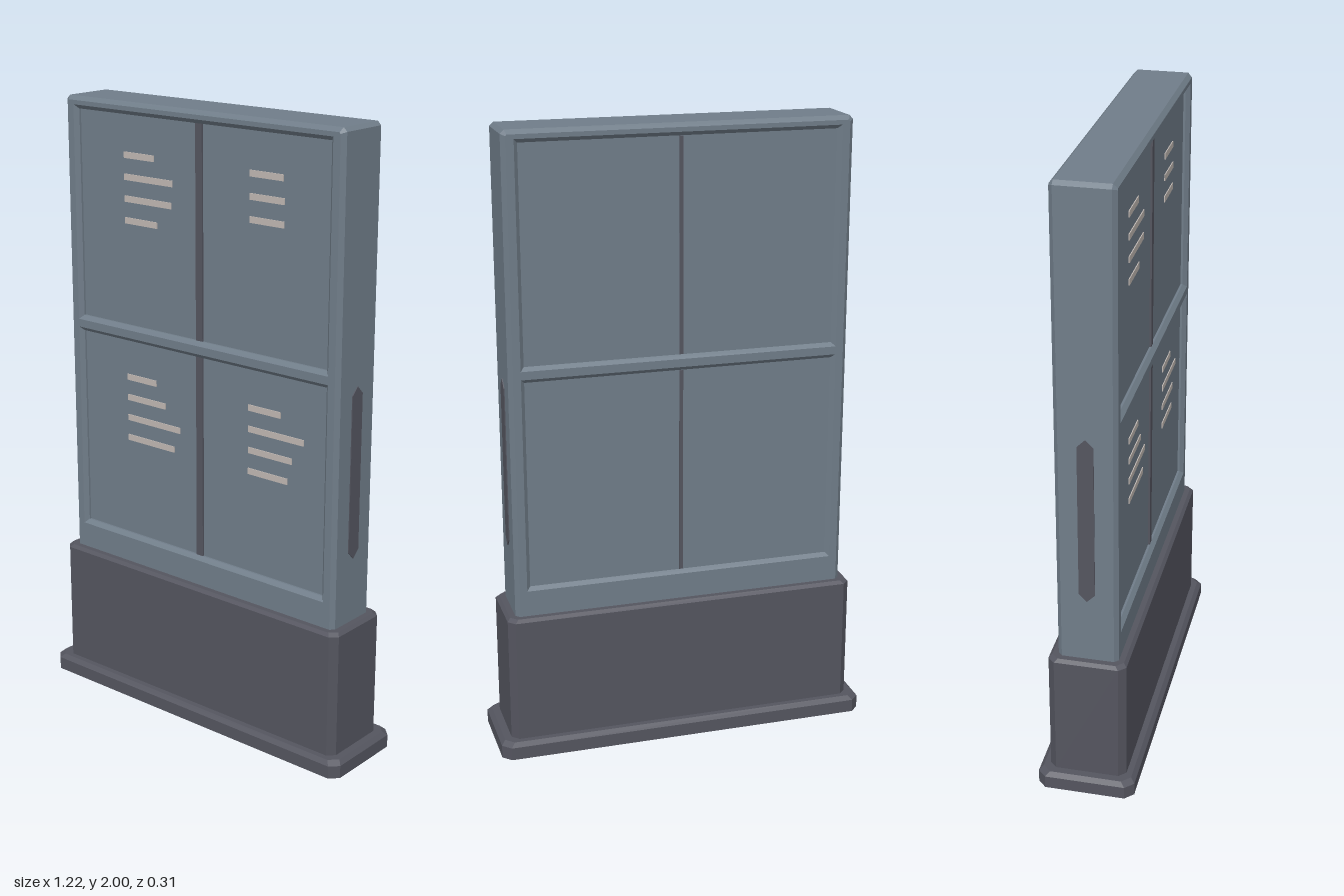
import * as THREE from 'three';

const material = (name, color) => {
  const m = new THREE.MeshStandardMaterial({ color });
  m.name = name;
  return m;
};

// Corner-cut rectangle in plan, as eight points
function octagon(hw, hd, c) {
  return [[hw - c, hd], [hw, hd - c], [hw, c - hd], [hw - c, -hd],
    [c - hw, -hd], [-hw, c - hd], [-hw, hd - c], [c - hw, hd]];
}

// Upright corner-cut block with a chamfered top edge
function chamferedBlock(hw, hd, y0, y1, corner, bevel) {
  const rings = [
    [octagon(hw, hd, corner), y0],
    [octagon(hw, hd, corner), y1 - bevel],
    [octagon(hw - bevel, hd - bevel, corner), y1],
  ].map(([pts, y]) => pts.map(([x, z]) => [x, y, z]));
  const out = [];
  const tri = (a, b, c) => out.push(...a, ...b, ...c);
  for (let r = 0; r < 2; r++) {
    for (let i = 0; i < 8; i++) {
      const j = (i + 1) % 8;
      const [a, b, c, d] = [rings[r][i], rings[r][j], rings[r + 1][j], rings[r + 1][i]];
      tri(a, b, c);
      tri(a, c, d);
    }
  }
  for (let i = 1; i < 7; i++) {
    tri(rings[2][0], rings[2][i], rings[2][i + 1]);
    tri(rings[0][0], rings[0][i + 1], rings[0][i]);
  }
  const g = new THREE.BufferGeometry();
  g.setAttribute('position', new THREE.Float32BufferAttribute(out, 3));
  g.computeVertexNormals();
  return g;
}

export function createModel() {
  const group = new THREE.Group();
  const steel = material('blue grey steel', 0x707d89);
  const dark = material('dark grey', 0x54555f);
  const pale = material('pale print', 0xc0b8b3);

  const add = (name, geometry, mat, x = 0, y = 0, z = 0) => {
    const mesh = new THREE.Mesh(geometry, mat);
    mesh.name = name;
    mesh.position.set(x, y, z);
    group.add(mesh);
    return mesh;
  };
  const box = (name, w, h, d, mat, x, y, z) =>
    add(name, new THREE.BoxGeometry(w, h, d), mat, x, y, z);

  // Foot and plinth
  add('foot', chamferedBlock(0.612, 0.155, 0, 0.055, 0.027, 0.013), dark);
  add('plinth', chamferedBlock(0.575, 0.123, 0.05, 0.47, 0.022, 0.01), dark);

  // Frame with two bevelled openings
  const hw = 0.546, cut = 0.012, bevel = 0.013, depth = 0.19 - 2 * bevel;
  const openings = [[0.567, 1.235], [1.287, 1.96]];
  const outline = new THREE.Shape([
    [-hw, 0.42], [hw, 0.42], [hw, 2 - cut], [hw - cut, 2], [cut - hw, 2], [-hw, 2 - cut],
  ].map(([x, y]) => new THREE.Vector2(x, y)));
  for (const [y0, y1] of openings) {
    outline.holes.push(new THREE.Path([
      [-0.495, y0], [-0.495, y1], [0.495, y1], [0.495, y0],
    ].map(([x, y]) => new THREE.Vector2(x, y))));
  }
  const frame = new THREE.ExtrudeGeometry(outline, {
    depth, bevelEnabled: true, bevelSegments: 1,
    bevelSize: bevel, bevelThickness: bevel, bevelOffset: -bevel,
  });
  add('frame', frame, steel, 0, 0, -depth / 2);

  // Recessed panels with dark centre dividers, wide in front and narrow behind
  const front = 0.075, back = -0.083;
  for (const [y0, y1] of openings) {
    const y = (y0 + y1) / 2, h = y1 - y0;
    box('panel', 1.0, h + 0.01, front - back, steel, 0, y, (front + back) / 2);
    box('frontDivider', 0.026, h, 0.008, dark, 0, y, front + 0.002);
    box('backDivider', 0.012, h, 0.006, dark, 0, y, back);
  }

  // Pale lines on each panel: left edge, top row height, widths
  const blocks = [
    [-0.31, 1.833, [0.125, 0.2, 0.195, 0.135]],
    [0.195, 1.833, [0.125, 0.13, 0.13]],
    [-0.31, 1.11, [0.125, 0.163, 0.226, 0.2]],
    [0.195, 1.11, [0.125, 0.215, 0.17, 0.155]],
  ];
  for (const [x, y, widths] of blocks) {
    widths.forEach((w, i) =>
      box('printedLine', w, 0.02, 0.004, pale, x + w / 2, y - i * 0.069, front + 0.001));
  }

  // Pointed plates on both sides
  const grip = new THREE.Shape([
    [-0.025, 0.705], [0, 0.68], [0.025, 0.705], [0.025, 1.205], [0, 1.23], [-0.025, 1.205],
  ].map(([x, y]) => new THREE.Vector2(x, y)));
  for (const side of [-1, 1]) {
    const plate = new THREE.ExtrudeGeometry(grip, { depth: 0.006, bevelEnabled: false });
    plate.rotateY(side * Math.PI / 2);
    add('sideGrip', plate, dark, side * (hw - 0.003), 0, 0);
  }
  return group;
}
